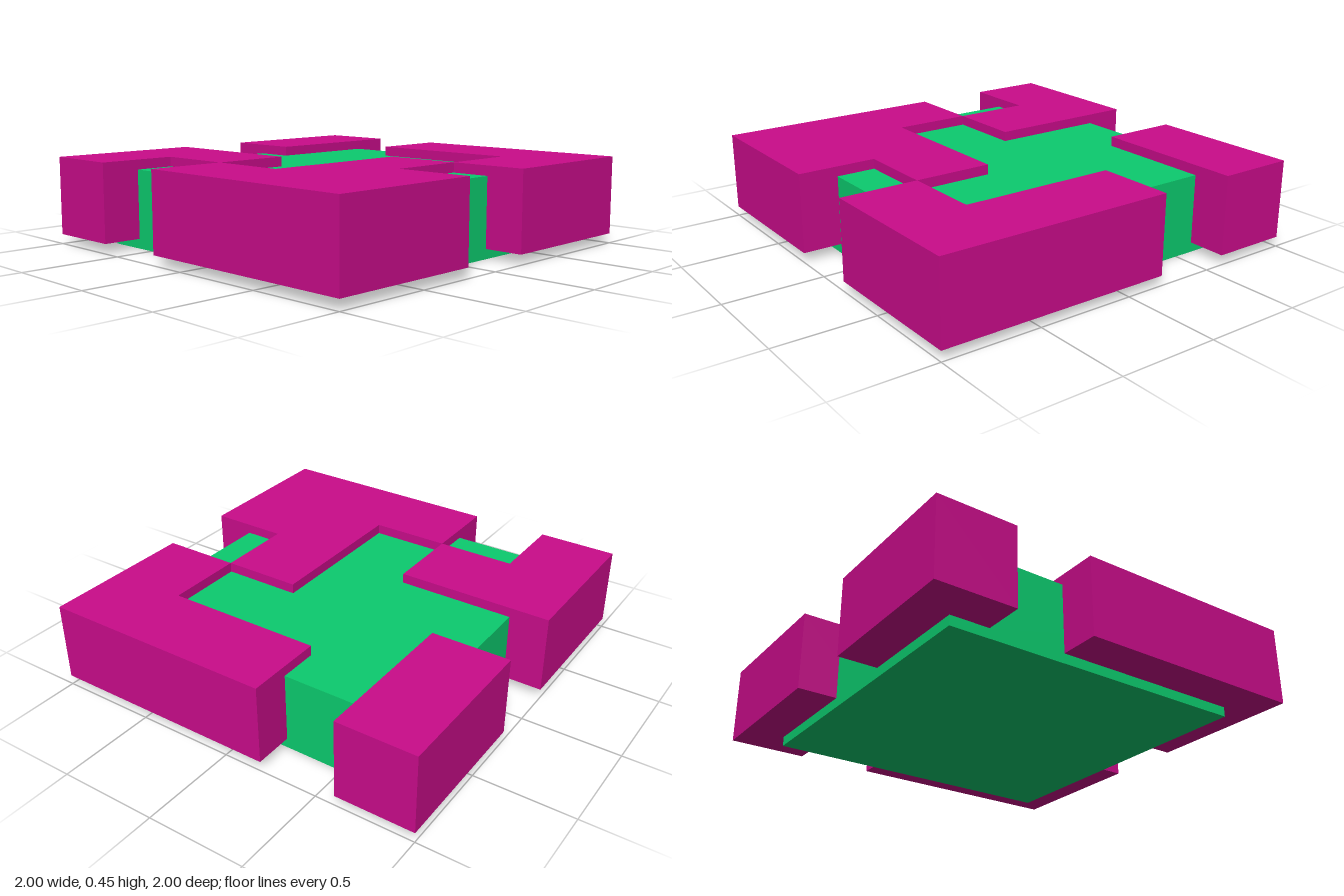
import * as THREE from 'three';

export function createModel() {
  const model = new THREE.Group();
  const pink = new THREE.MeshStandardMaterial({ color: 0xc90c8a });
  const green = new THREE.MeshStandardMaterial({ color: 0x0ccb6e });

  // Square core slab
  const core = new THREE.Mesh(new THREE.BoxGeometry(1.6, 0.4, 1.6), green);
  core.name = 'coreSlab';
  core.position.y = 0.2;
  model.add(core);

  // Raised wall pieces: floor outlines as [x, z] corners, extruded upwards
  const walls = {
    backRightWall: [[-1, -1], [-0.2, -1], [-0.2, -0.2], [-0.6, -0.2], [-0.6, -0.6], [-1, -0.6]],
    backLeftWall: [[0.2, -1], [1, -1], [1, -0.6], [0.2, -0.6]],
    frontRightWall: [[-1, -0.2], [-0.6, -0.2], [-0.6, 0.2], [0.2, 0.2], [0.2, 0.6], [-0.2, 0.6], [-0.2, 1], [-1, 1]],
    frontLeftWall: [[0.6, -0.2], [1, -0.2], [1, 1], [0.2, 1], [0.2, 0.6], [0.6, 0.6]],
  };
  for (const [name, outline] of Object.entries(walls)) {
    const shape = new THREE.Shape(outline.map(([x, z]) => new THREE.Vector2(x, -z)));
    const geometry = new THREE.ExtrudeGeometry(shape, { depth: 0.4, bevelEnabled: false });
    geometry.rotateX(-Math.PI / 2);
    const wall = new THREE.Mesh(geometry, pink);
    wall.name = name;
    wall.position.y = 0.05;
    model.add(wall);
  }
  return model;
}
